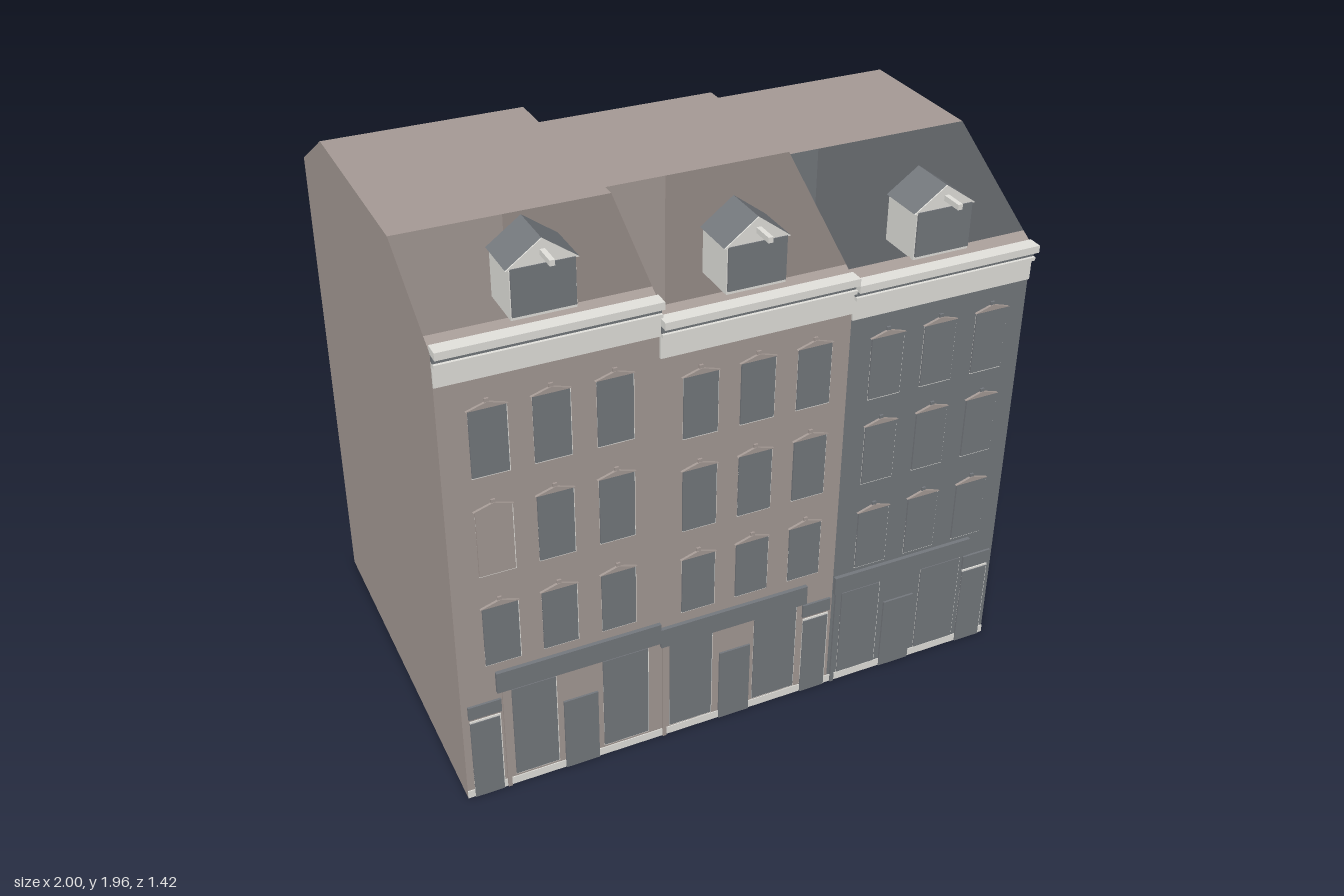
import * as THREE from 'three';

// Walls and roofs are open shells, so every colour shows on both sides
const mat = (name, color) => {
  const m = new THREE.MeshStandardMaterial({ color, side: THREE.DoubleSide });
  m.name = name;
  return m;
};
const M = {
  brown: mat('brownStone', 0xa69b96),
  grey: mat('slateGrey', 0x75797e),
  white: mat('paleTrim', 0xe4e3de),
};
const FRONT = 0.66;

function add(group, name, geometry, material) {
  const mesh = new THREE.Mesh(geometry, material);
  mesh.name = name;
  group.add(mesh);
  return mesh;
}

// Box given by its limits on each axis
function block(group, name, x0, x1, y0, y1, z0, z1, material) {
  const geo = new THREE.BoxGeometry(x1 - x0, y1 - y0, z1 - z0);
  geo.translate((x0 + x1) / 2, (y0 + y1) / 2, (z0 + z1) / 2);
  return add(group, name, geo, material);
}

// Thin plate on the front wall
function plate(group, name, x0, x1, y0, y1, material, depth = 0.006) {
  return block(group, name, x0, x1, y0, y1, FRONT - 0.002, FRONT + depth, material);
}

// Shell along x from a [z, y] profile; edge i uses material i, edge `open` is left out
function shell(profile, x0, x1, open, leftEnd) {
  const pos = [], geo = new THREE.BufferGeometry(), n = profile.length;
  const at = (x, p) => [x, p[1], p[0]];
  profile.forEach((p, i) => {
    if (i === open) return;
    const q = profile[(i + 1) % n];
    geo.addGroup(pos.length / 3, 6, i);
    pos.push(...at(x0, p), ...at(x1, p), ...at(x1, q), ...at(x0, p), ...at(x1, q), ...at(x0, q));
  });
  const start = pos.length / 3;
  for (let i = 1; i < n - 1; i++) {
    const [a, b, c] = [profile[0], profile[i], profile[i + 1]];
    pos.push(...at(x1, a), ...at(x1, c), ...at(x1, b));
    if (leftEnd) pos.push(...at(x0, a), ...at(x0, b), ...at(x0, c));
  }
  geo.addGroup(start, pos.length / 3 - start, n);
  geo.setAttribute('position', new THREE.Float32BufferAttribute(pos, 3));
  geo.computeVertexNormals();
  return geo;
}

// Polygon in the xy plane, extruded from z0 to z1
function slab(points, z0, z1) {
  const shape = new THREE.Shape(points.map(([x, y]) => new THREE.Vector2(x, y)));
  const geo = new THREE.ExtrudeGeometry(shape, { depth: z1 - z0, bevelEnabled: false });
  return geo.translate(0, 0, z0);
}

// Upper window with side trim, sill and a low pediment with a knob
function upperWindow(group, x, y0, y1, wall, pane) {
  const h = 0.058;
  plate(group, 'windowTrim', x - h, x + h + 0.004, y0 - 0.006, y1, M.white, 0.002);
  plate(group, 'windowPane', x - h, x + h, y0, y1, pane, 0.007);
  add(group, 'pediment', slab([[x - h - 0.006, y1], [x + h + 0.006, y1], [x, y1 + 0.02]],
    FRONT - 0.002, FRONT + 0.009), M.brown);
  block(group, 'pedimentKnob', x - 0.007, x + 0.007, y1 + 0.018, y1 + 0.03, FRONT - 0.002, FRONT + 0.007, wall);
}

// Gabled dormer with a projecting hoist beam
function dormer(group, x, y, eave, peak) {
  const w = 0.1, r = 0.11, t = 0.012, back = 0.47, front = 0.63;
  add(group, 'dormerBody', slab([[x - w, y - 0.012], [x + w, y - 0.012], [x + w, eave - t], [x, peak - t],
    [x - w, eave - t]], back, front), M.white);
  add(group, 'dormerRoof', slab([[x - r, eave - 0.008], [x - w, eave - 0.008], [x, peak - t],
    [x + w, eave - 0.008], [x + r, eave - 0.008], [x, peak]], back, front), M.grey);
  add(group, 'dormerGable', slab([[x - r, eave - 0.008], [x + r, eave - 0.008], [x, peak]],
    front, front + 0.004), M.white);
  block(group, 'dormerWindow', x - 0.097, x + 0.097, y, eave - 0.004, front - 0.002, front + 0.007, M.grey);
  block(group, 'hoistBeam', x - 0.008, x + 0.008, peak - 0.05, peak - 0.032, front - 0.02, 0.71, M.white);
}

const HOUSES = [
  {
    name: 'leftHouse', x: [-1, -0.31], wall: M.brown, eave: 1.69, ridge: 1.89, flat: [0.315, -0.43],
    back: [-0.715, 1.72], cap: 1.712, frieze: 1.582, cols: [-0.85, -0.655, -0.455],
    rows: [[0.54, 0.765], [0.89, 1.13], [1.25, 1.48]], fascia: [-0.88, -0.31, 0.42, 0.5],
    shop: [[-0.83, -0.68], [-0.515, -0.355]], shopY: [0.045, 0.41], door: [-0.655, -0.535],
    side: [-0.975, -0.875], pilaster: -0.855, dormer: [-0.652, 1.73, 1.885, 1.957],
  },
  {
    name: 'middleHouse', x: [-0.31, 0.342], wall: M.brown, eave: 1.62, ridge: 1.868, flat: [0.225, -0.335],
    back: [-0.709, 1.645], cap: 1.642, frieze: 1.505, cols: [-0.175, 0.02, 0.217],
    rows: [[0.52, 0.735], [0.85, 1.08], [1.2, 1.42]], fascia: [-0.31, 0.235, 0.4, 0.475],
    shop: [[-0.275, -0.12], [0.04, 0.2]], shopY: [0.04, 0.395], door: [-0.09, 0.025],
    side: [0.23, 0.325], pilaster: -0.295, dormer: [0.02, 1.66, 1.81, 1.885],
  },
  {
    name: 'rightHouse', x: [0.342, 1], wall: M.grey, eave: 1.6, ridge: 1.857, flat: [0.22, -0.305],
    back: [-0.703, 1.63], cap: 1.615, frieze: 1.48, cols: [0.48, 0.675, 0.87],
    rows: [[0.49, 0.72], [0.84, 1.065], [1.17, 1.395]], fascia: [0.345, 0.89, 0.4, 0.47],
    shop: [[0.38, 0.53], [0.7, 0.86]], shopY: [0.035, 0.39], door: [0.555, 0.675],
    side: [0.88, 0.98], pilaster: 0.36, dormer: [0.67, 1.635, 1.79, 1.86],
  },
];

function house(h, index) {
  const g = new THREE.Group();
  g.name = h.name;
  const [x0, x1] = h.x;

  // Walls, floor and roof; the front roof slope is open above a narrow eave strip
  const profile = [[FRONT, 0], [FRONT, h.eave], [0.608, h.eave + 0.028], [h.flat[0], h.ridge],
    [h.flat[1], h.ridge], h.back, [h.back[0], 0]];
  add(g, 'wallsAndRoof', shell(profile, x0, x1, 2, index === 0),
    [h.wall, M.brown, M.brown, M.brown, M.grey, h.wall, h.wall, h.wall]);

  // Frieze and cornice
  plate(g, 'frieze', x0, x1, h.frieze, h.cap - 0.048, M.white, 0.008);
  block(g, 'corniceLowerMoulding', x0, x1, h.cap - 0.06, h.cap - 0.048, 0.65, 0.685, M.white);
  block(g, 'corniceGroove', x0, x1, h.cap - 0.048, h.cap - 0.025, 0.65, 0.675, M.grey);
  block(g, 'corniceCap', x0, x1, h.cap - 0.025, h.cap, 0.65, 0.7, M.white);

  // Upper windows
  h.rows.forEach(([y0, y1], r) => h.cols.forEach((x, c) => {
    const walled = index === 0 && r === 1 && c === 0;
    upperWindow(g, x, y0, y1, h.wall, walled ? h.wall : M.grey);
  }));

  // Shopfront
  const [f0, f1, f2, f3] = h.fascia;
  block(g, 'shopFascia', f0, f1, f2, f3, FRONT - 0.002, FRONT + 0.014, M.grey);
  plate(g, 'plinth', x0, x1, 0, 0.03, M.white, 0.003);
  for (const [a, b] of h.shop) {
    plate(g, 'shopWindowTrim', a, b + 0.004, h.shopY[0] - 0.006, h.shopY[1], M.white, 0.002);
    plate(g, 'shopWindow', a, b, ...h.shopY, M.grey);
  }
  plate(g, 'shopDoor', ...h.door, 0, 0.29, M.grey, 0.007);
  plate(g, 'sideDoorTrim', h.side[0], h.side[1] + 0.004, 0, 0.325, M.white, 0.004);
  plate(g, 'sideDoor', ...h.side, 0, 0.318, M.grey, 0.007);
  plate(g, 'sideDoorTransom', h.side[0] - 0.004, h.side[1] + 0.008, 0.337, 0.388, M.grey, 0.008);
  plate(g, 'pilaster', h.pilaster - 0.007, h.pilaster + 0.007, 0, h.fascia[2], h.wall, 0.008);

  dormer(g, ...h.dormer);
  return g;
}

export function createModel() {
  const model = new THREE.Group();
  model.name = 'rowOfHouses';
  HOUSES.forEach((h, i) => model.add(house(h, i)));
  return model;
}
